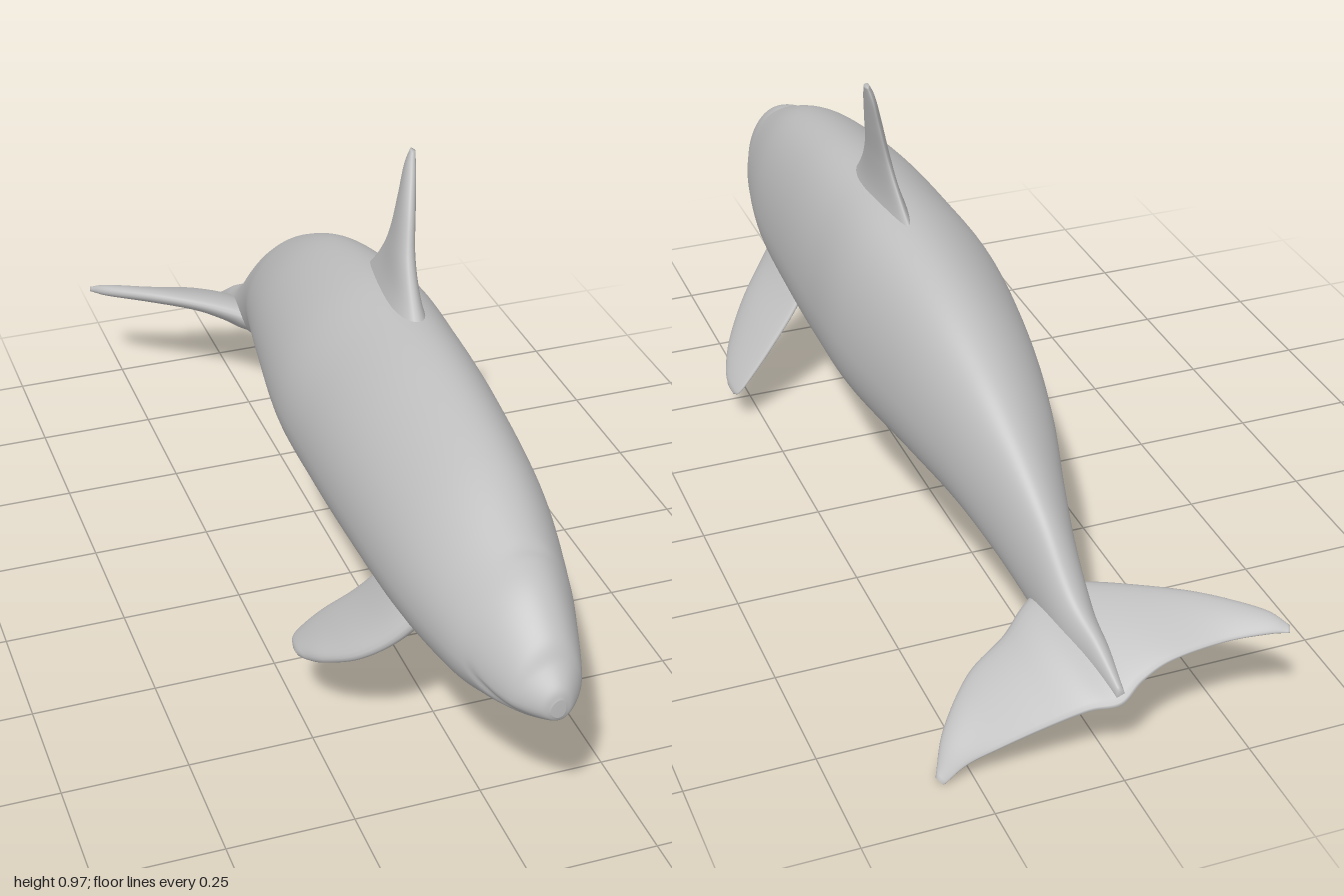
import * as THREE from 'three';

const V = (p) => new THREE.Vector3(...p);
const spline = (pts) => new THREE.CatmullRomCurve3(pts.map(V), false, 'catmullrom', 0.5);
const bump = (d, width) => Math.exp(-((d / width) ** 2));

// Smooth closed skin over rings of points, each end drawn to its middle
function skin(rings) {
  const middle = (ring) => {
    const m = ring.reduce((s, p) => s.add(p), new THREE.Vector3()).divideScalar(ring.length);
    return ring.map(() => m);
  };
  const all = [middle(rings[0]), ...rings, middle(rings[rings.length - 1])];
  const n = rings[0].length, index = [];
  for (let i = 0; i < all.length - 1; i++) {
    for (let j = 0; j < n; j++) {
      const a = i * n + j, b = i * n + (j + 1) % n;
      index.push(a, a + n, b + n, a, b + n, b);
    }
  }
  const geo = new THREE.BufferGeometry().setFromPoints(all.flat());
  geo.setIndex(index);
  geo.computeVertexNormals();
  return geo;
}

// Fin from rows of [leading point, trailing point, half thickness]
function finGeometry(rows, steps = 48, sides = 28) {
  const lead = spline(rows.map((r) => r[0]));
  const trail = spline(rows.map((r) => r[1]));
  const thick = spline(rows.map((r) => [r[2], 0, 0]));
  const mid = (t) => lead.getPoint(t).add(trail.getPoint(t)).multiplyScalar(0.5);
  const rings = [];
  for (let i = 0; i <= steps; i++) {
    const t = i / steps;
    const c = mid(t);
    const chord = lead.getPoint(t).sub(c);
    const span = mid(Math.min(1, t + 0.02)).sub(mid(Math.max(0, t - 0.02)));
    const up = chord.clone().cross(span).normalize().multiplyScalar(thick.getPoint(t).x);
    const ring = [];
    for (let j = 0; j < sides; j++) {
      const a = (j / sides) * Math.PI * 2;
      // thicker toward the leading edge
      ring.push(c.clone().addScaledVector(chord, Math.cos(a))
        .addScaledVector(up, Math.sin(a) * (1 + 0.35 * Math.cos(a))));
    }
    rings.push(ring);
  }
  return skin(rings);
}

// Body stations: z, centre x, half width, top y, widest y, bottom y
const BODY = [
  [1.0, 0.035, 0.014, 0.395, 0.375, 0.358],
  [0.992, 0.035, 0.032, 0.415, 0.377, 0.346],
  [0.965, 0.033, 0.058, 0.447, 0.38, 0.333],
  [0.935, 0.03, 0.077, 0.488, 0.385, 0.323],
  [0.865, 0.026, 0.104, 0.542, 0.395, 0.297],
  [0.78, 0.025, 0.13, 0.577, 0.405, 0.273],
  [0.6, 0.028, 0.162, 0.65, 0.42, 0.251],
  [0.36, 0.03, 0.178, 0.695, 0.435, 0.243],
  [0.15, 0.032, 0.184, 0.71, 0.44, 0.243],
  [-0.05, 0.034, 0.184, 0.706, 0.445, 0.251],
  [-0.29, 0.036, 0.151, 0.66, 0.44, 0.266],
  [-0.47, 0.035, 0.114, 0.582, 0.41, 0.26],
  [-0.61, 0.034, 0.077, 0.49, 0.355, 0.225],
  [-0.72, 0.03, 0.052, 0.398, 0.29, 0.188],
  [-0.82, 0.022, 0.036, 0.295, 0.23, 0.172],
  [-0.9, 0.01, 0.022, 0.243, 0.205, 0.165],
  [-0.975, 0.003, 0.008, 0.19, 0.178, 0.16],
];

function bodyGeometry(steps = 220, sides = 96) {
  const plan = spline(BODY.map((r) => r.slice(0, 3)));
  const side = spline(BODY.map((r) => r.slice(3)));
  const rings = [];
  for (let i = 0; i <= steps; i++) {
    const { x: z, y: cx, z: hw } = plan.getPoint(i / steps);
    const { x: top, y: wide, z: bottom } = side.getPoint(i / steps);
    const mouthY = 0.35 + 2.6 * (0.99 - z) ** 2;
    const ring = [];
    for (let j = 0; j < sides; j++) {
      const a = (j / sides) * Math.PI * 2;
      const c = Math.cos(a), s = Math.sin(a);
      let y = wide + s * (s > 0 ? top - wide : wide - bottom);
      // shoulders narrow toward the back
      let w = hw * c * (s > 0 ? 1 - 0.1 * s * s : 1);
      // mouth crease
      if (z > 0.85) w *= 1 - 0.06 * bump(y - mouthY, 0.01) * Math.min(1, (z - 0.85) / 0.05);
      // slight roll of the body
      const x = cx + w + s * s * hw * (s > 0 ? 0.2 : 0.13);
      // blowhole dimple
      if (s > 0) y -= 0.004 * bump(z - 0.79, 0.013) * bump(x - 0.065, 0.035);
      ring.push(new THREE.Vector3(x, y, z));
    }
    rings.push(ring);
  }
  return skin(rings);
}

const DORSAL = [
  [[0.07, 0.66, 0.25], [0.075, 0.65, -0.15], 0.045],
  [[0.076, 0.725, 0.175], [0.083, 0.73, -0.068], 0.025],
  [[0.085, 0.8, 0.115], [0.094, 0.8, -0.028], 0.018],
  [[0.102, 0.88, 0.07], [0.112, 0.88, -0.027], 0.014],
  [[0.12, 0.94, 0.027], [0.126, 0.94, -0.033], 0.01],
  [[0.134, 0.975, -0.008], [0.136, 0.974, -0.028], 0.005],
];

const LEFT_FLIPPER = [
  [[0.1, 0.37, 0.65], [0.11, 0.34, 0.44], 0.032],
  [[0.16, 0.29, 0.63], [0.16, 0.265, 0.41], 0.023],
  [[0.225, 0.21, 0.592], [0.225, 0.185, 0.392], 0.02],
  [[0.275, 0.14, 0.542], [0.28, 0.12, 0.383], 0.016],
  [[0.302, 0.1, 0.49], [0.306, 0.088, 0.385], 0.011],
  [[0.313, 0.082, 0.448], [0.314, 0.078, 0.402], 0.005],
];

const RIGHT_FLIPPER = [
  [[-0.06, 0.385, 0.66], [-0.06, 0.36, 0.45], 0.032],
  [[-0.13, 0.31, 0.64], [-0.13, 0.28, 0.42], 0.024],
  [[-0.19, 0.255, 0.6], [-0.19, 0.225, 0.392], 0.02],
  [[-0.237, 0.215, 0.54], [-0.235, 0.19, 0.388], 0.016],
  [[-0.258, 0.192, 0.493], [-0.257, 0.18, 0.402], 0.011],
  [[-0.266, 0.182, 0.465], [-0.266, 0.178, 0.432], 0.005],
];

// One span from the right tip through the tail root to the left tip
const FLUKES = [
  [[-0.322, 0.25, -0.98], [-0.316, 0.246, -0.996], 0.005],
  [[-0.29, 0.262, -0.935], [-0.28, 0.245, -0.985], 0.012],
  [[-0.2, 0.27, -0.86], [-0.2, 0.235, -0.967], 0.016],
  [[-0.1, 0.265, -0.79], [-0.1, 0.22, -0.965], 0.02],
  [[-0.03, 0.255, -0.74], [-0.04, 0.195, -0.972], 0.027],
  [[0.03, 0.24, -0.7], [0.005, 0.165, -0.985], 0.032],
  [[0.09, 0.225, -0.73], [0.06, 0.155, -0.97], 0.027],
  [[0.14, 0.192, -0.76], [0.13, 0.122, -0.948], 0.021],
  [[0.215, 0.14, -0.778], [0.21, 0.077, -0.922], 0.016],
  [[0.283, 0.071, -0.83], [0.265, 0.041, -0.903], 0.012],
  [[0.318, 0.011, -0.882], [0.308, 0.004, -0.898], 0.004],
];

export function createModel() {
  const skinGrey = new THREE.MeshStandardMaterial({ color: 0xbebebe });
  skinGrey.name = 'skinGrey';
  const group = new THREE.Group();
  group.name = 'whale';
  const add = (name, geometry) => {
    const mesh = new THREE.Mesh(geometry, skinGrey);
    mesh.name = name;
    group.add(mesh);
  };
  add('body', bodyGeometry());
  add('dorsalFin', finGeometry(DORSAL));
  add('leftFlipper', finGeometry(LEFT_FLIPPER));
  add('rightFlipper', finGeometry(RIGHT_FLIPPER));
  add('tailFlukes', finGeometry(FLUKES, 80));
  return group;
}
